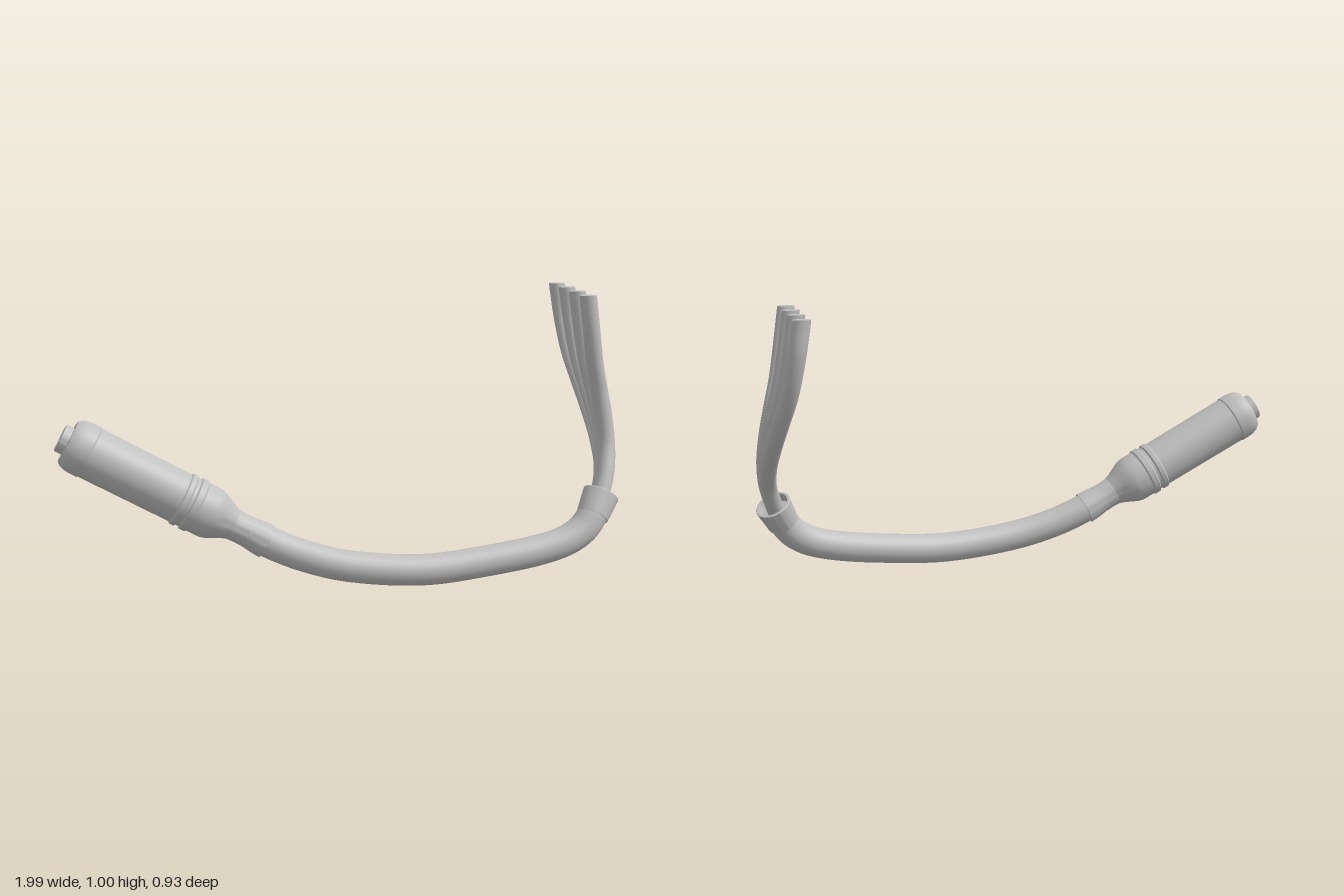
import * as THREE from 'three';
import { toCreasedNormals } from 'three/addons/utils/BufferGeometryUtils.js';

const V = (x, y, z) => new THREE.Vector3(x, y, z);
const UP = V(0, 1, 0);

export function createModel() {
  const model = new THREE.Group();
  const grey = new THREE.MeshStandardMaterial({ color: 0xc0c0c0 });
  grey.name = 'light grey';

  const add = (name, geometry, parent = model) => {
    const mesh = new THREE.Mesh(geometry, grey);
    mesh.name = name;
    parent.add(mesh);
    return mesh;
  };
  // Profile points are [radius, distance along the axis]
  const lathe = (points) => toCreasedNormals(
    new THREE.LatheGeometry(points.map(([r, t]) => new THREE.Vector2(r, t)), 48), 0.5);
  const tube = (points, radius, steps) => new THREE.TubeGeometry(
    new THREE.CatmullRomCurve3(points), steps, radius, 24);
  const axisGroup = (name, origin, direction) => {
    const group = new THREE.Group();
    group.name = name;
    group.position.copy(origin);
    group.quaternion.setFromUnitVectors(UP, direction.normalize());
    model.add(group);
    return group;
  };

  // Plug, built along its axis from the open tip to the cable
  const plug = axisGroup('plug', V(-0.975, 0.551, 0.372), V(0.88, -0.475, -0.035));
  add('plugHead', lathe([
    [0, 0.085], [0.064, 0.085], [0.064, 0.032], [0.068, 0.028], [0.076, 0.03],
    [0.086, 0.042], [0.092, 0.06], [0.094, 0.08], [0.094, 0.108], [0.091, 0.112], [0, 0.112],
  ]), plug);
  add('plugBody', lathe([
    [0.091, 0.11], [0.089, 0.455], [0.095, 0.46], [0.095, 0.476], [0.089, 0.481],
    [0.089, 0.492], [0.096, 0.497], [0.096, 0.518], [0.091, 0.523], [0.091, 0.57],
    [0.086, 0.59], [0.074, 0.615], [0.061, 0.642], [0.055, 0.66],
  ]), plug);
  add('strainRelief', lathe([
    [0.055, 0.658], [0.053, 0.69], [0.054, 0.72], [0.058, 0.75], [0.061, 0.79], [0.05, 0.79],
  ]), plug);
  add('contactSleeve', lathe([
    [0, 0.07], [0.037, 0.07], [0.037, 0.003], [0.04, 0], [0.046, 0], [0.049, 0.003], [0.049, 0.086],
  ]), plug);
  add('contactPin', lathe([[0, 0.035], [0.008, 0.035], [0.012, 0.04], [0.012, 0.072]]), plug);
  const key = add('alignmentKey', new THREE.BoxGeometry(0.014, 0.05, 0.018), plug);
  key.position.set(0.054, 0.06, 0);

  // Main cable
  add('mainCable', tube([
    V(-0.34, 0.208, 0.347), V(-0.25, 0.162, 0.345), V(-0.15, 0.122, 0.345), V(0, 0.083, 0.342),
    V(0.27, 0.057, 0.31), V(0.5, 0.074, 0.265), V(0.7, 0.103, 0.226), V(0.8, 0.132, 0.205),
    V(0.86, 0.17, 0.188), V(0.895, 0.215, 0.172), V(0.915, 0.25, 0.155),
  ], 0.055, 100));

  // Flared collar where the cable splits
  const collar = axisGroup('splitCollar', V(0.895, 0.211, 0.173), V(0.42, 0.8, -0.4));
  add('collarShell', lathe([
    [0.05, 0], [0.058, 0], [0.066, 0.088], [0.064, 0.091], [0.056, 0.091], [0.054, 0.055], [0, 0.055],
  ]), collar);

  // Four thin wires fanning out, each with a flat level end
  const heights = [0.26, 0.36, 0.45, 0.55, 0.65, 0.75, 0.88, 1];
  const across = [0.922, 0.953, 0.961, 0.951, 0.931, 0.908, 0.887, 0.87];
  const fans = [
    [0.155, 0.115, 0.083, 0.075, 0.08, 0.1, 0.124, 0.135],
    [0.15, 0.1, 0.052, 0.005, -0.03, -0.046, -0.052, -0.053],
    [0.145, 0.085, 0.01, -0.08, -0.155, -0.205, -0.235, -0.243],
    [0.14, 0.06, -0.06, -0.19, -0.295, -0.37, -0.42, -0.433],
  ];
  fans.forEach((fan, i) => {
    const steps = 64;
    const wire = tube(heights.map((y, k) => V(across[k], y, fan[k])), 0.031, steps);
    const position = wire.attributes.position;
    for (let k = steps * 25; k < position.count; k++) position.setY(k, 1);
    add('wire' + (i + 1), wire);
    const end = add('wireEnd' + (i + 1), new THREE.CircleGeometry(0.031, 24));
    end.rotation.x = -Math.PI / 2;
    end.position.set(0.87, 1, fan[7]);
  });

  return model;
}
